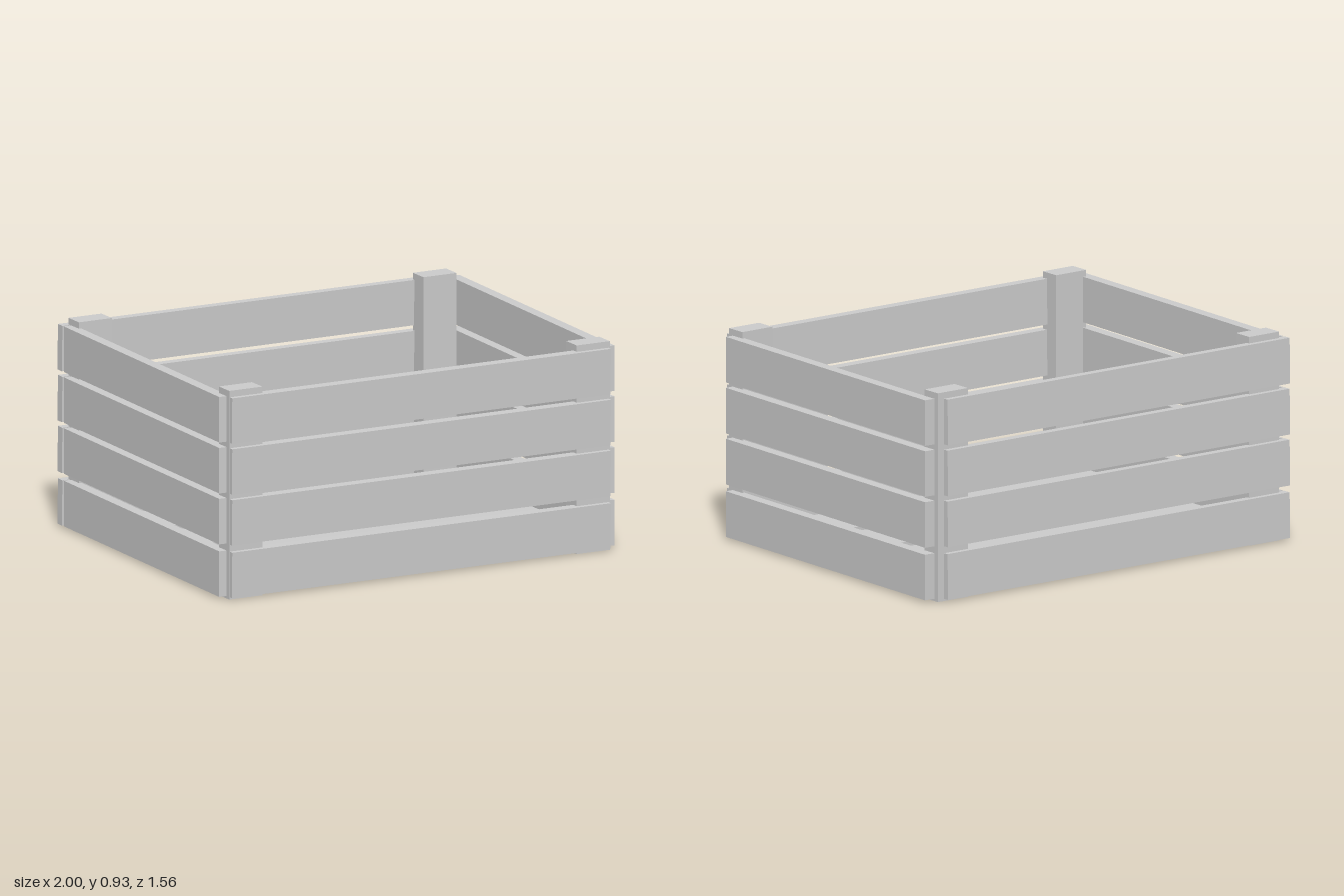
import * as THREE from 'three';

// Slatted wooden crate: corner posts, four rows of wall boards, slatted floor
export function createModel() {
  const crate = new THREE.Group();
  crate.name = 'crate';
  const wood = new THREE.MeshStandardMaterial({ color: 0xcccccc, flatShading: true });

  function plank(name, size, position, rotation = [0, 0, 0]) {
    const mesh = new THREE.Mesh(new THREE.BoxGeometry(...size), wood);
    mesh.name = name;
    mesh.position.set(...position);
    mesh.rotation.set(...rotation);
    crate.add(mesh);
  }

  // Corner posts, slightly out of line with each other
  const posts = [
    ['frontLeftPost', 0.84, 0.708], ['frontRightPost', -0.88, 0.708],
    ['backLeftPost', 0.866, -0.708], ['backRightPost', -0.84, -0.708],
  ];
  for (const [name, x, z] of posts) plank(name, [0.164, 0.93, 0.094], [x, 0.465, z]);

  // Wall boards, row by row; the side walls are skewed a little
  const lean = 0.02, skew = -0.027, boardHeight = 0.203;
  for (const [row, y] of [0.112, 0.346, 0.573, 0.8].entries()) {
    const n = row + 1;
    plank('frontBoard' + n, [1.875, boardHeight, 0.05], [-0.022, y, 0.75], [lean, 0, 0]);
    plank('backBoard' + n, [1.875, boardHeight, 0.04], [-0.022, y, -0.763], [lean, 0, 0]);
    plank('leftBoard' + n, [0.05, boardHeight, 1.46], [0.954, y, 0], [0, skew, 0]);
    plank('rightBoard' + n, [0.05, boardHeight, 1.46], [-0.953, y, 0], [0, skew, 0]);
  }

  // Floor slats
  for (const [i, z] of [-0.519, -0.163, 0.195, 0.544].entries()) {
    plank('floorSlat' + (i + 1), [1.865, 0.045, 0.287], [-0.018, 0.027, z]);
  }
  return crate;
}
